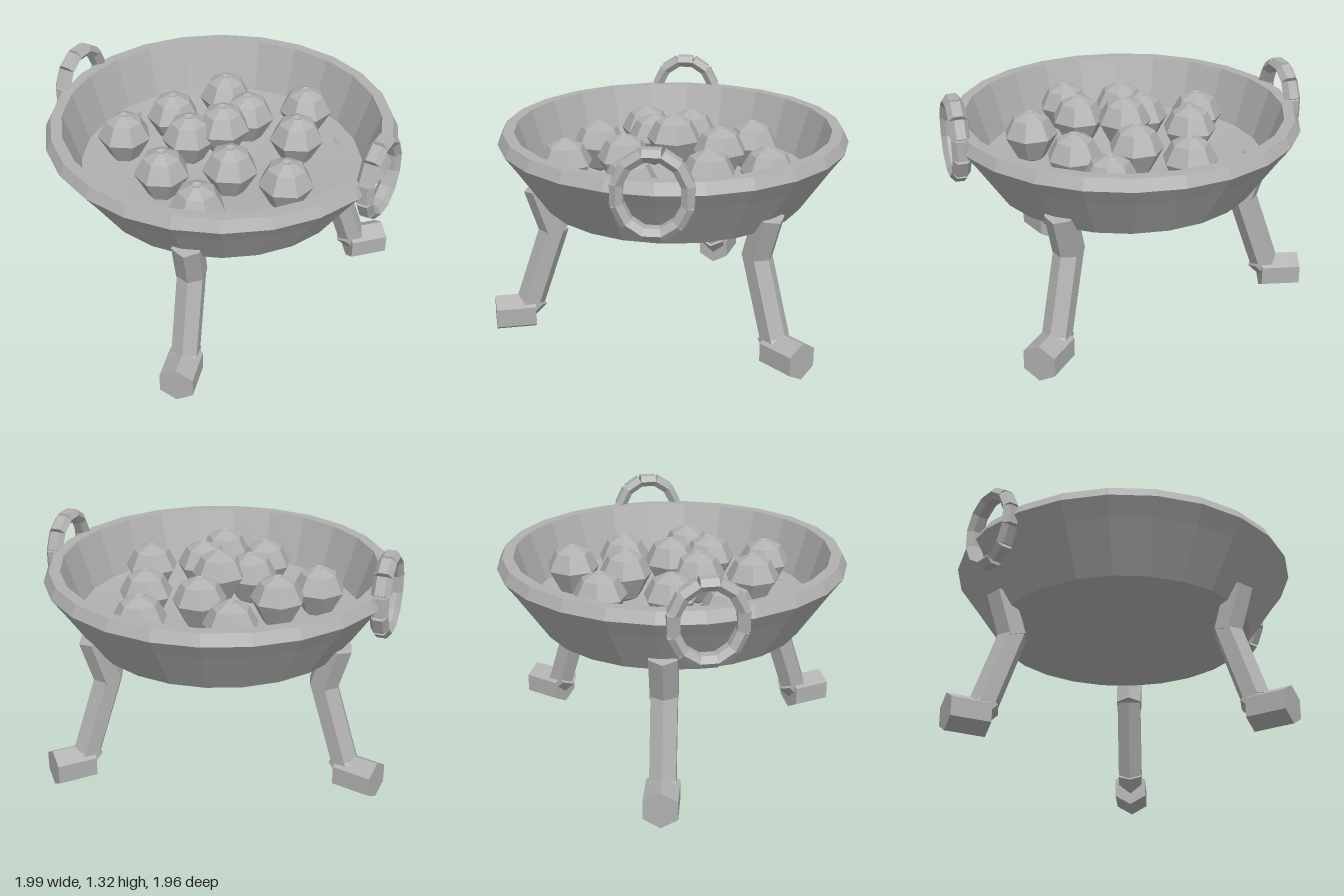
import * as THREE from 'three';

const grey = new THREE.MeshStandardMaterial({ color: 0xb0b0b0, flatShading: true });
grey.name = 'stone grey';

const v3 = (x, y, z) => new THREE.Vector3(x, y, z);

function part(name, geometry) {
  const mesh = new THREE.Mesh(geometry, grey);
  mesh.name = name;
  return mesh;
}

// Turned shape from [radius, height] pairs, listed from the underside upwards
function turned(name, profile, sides) {
  return part(name, new THREE.LatheGeometry(profile.map(([r, y]) => new THREE.Vector2(r, y)), sides));
}

// Six-sided bar between two points
function bar(name, a, b, radius) {
  const dir = b.clone().sub(a);
  const mesh = part(name, new THREE.CylinderGeometry(radius, radius, dir.length(), 6));
  mesh.position.copy(a).add(b).multiplyScalar(0.5);
  mesh.quaternion.setFromUnitVectors(v3(0, 1, 0), dir.normalize());
  return mesh;
}

// Bent leg in the local yz plane, with z pointing away from the bowl
function makeLeg() {
  const leg = new THREE.Group();
  leg.name = 'leg';
  leg.add(
    bar('upperLeg', v3(0, 0.845, 0.75), v3(0, 0.59, 0.67), 0.085),
    bar('lowerLeg', v3(0, 0.61, 0.67), v3(0, 0.17, 0.82), 0.08),
    bar('ankle', v3(0, 0.19, 0.79), v3(0, 0.1, 0.88), 0.08)
  );
  const foot = part('foot', new THREE.CylinderGeometry(0.104, 0.104, 0.22, 6).rotateX(Math.PI / 2));
  foot.position.set(0, 0.104, 0.91);
  leg.add(foot);
  return leg;
}

// Upright oval ring made of short straight links
function makeHandle() {
  const handle = new THREE.Group();
  handle.name = 'handle';
  const count = 12;
  const at = (i) => {
    const a = ((i + 0.5) / count) * Math.PI * 2;
    return v3(0, Math.cos(a) * 0.205, Math.sin(a) * 0.178);
  };
  for (let i = 0; i < count; i++) {
    const a = at(i), b = at(i + 1);
    const link = part('handleLink', new THREE.CylinderGeometry(0.05, 0.05, a.distanceTo(b), 6).rotateY(Math.PI / 2));
    link.position.copy(a).add(b).multiplyScalar(0.5);
    link.rotation.x = Math.atan2(b.z - a.z, b.y - a.y);
    link.scale.z = 0.75;
    handle.add(link);
  }
  return handle;
}

export function createModel() {
  const model = new THREE.Group();
  model.name = 'footedBowl';
  const body = new THREE.Group();
  body.name = 'bowlWithLegs';
  body.position.set(0.012, 0, -0.02);
  model.add(body);

  // Bowl: outside, rim, inner wall and shallow floor
  body.add(turned('bowl', [
    [0, 0.52], [0.11, 0.52], [0.32, 0.58], [0.725, 0.75], [0.895, 1.0],
    [0.96, 1.09], [0.93, 1.15], [0.87, 1.15], [0.78, 0.87], [0, 0.78],
  ], 24));

  // Three legs evenly spaced
  for (let i = 0; i < 3; i++) {
    const leg = makeLeg();
    leg.rotation.y = THREE.MathUtils.degToRad(16.5 + i * 120);
    body.add(leg);
  }

  // Ring handles on both sides
  for (const side of [-1, 1]) {
    const handle = makeHandle();
    handle.position.set(side * 0.932, 1.09, 0.01);
    body.add(handle);
  }

  // Heap of round fruit: x, top height, z
  const fruits = [
    [-0.21, 1.12, -0.45], [0.26, 1.12, -0.55], [0.03, 1.15, -0.28], [0.36, 1.13, -0.24],
    [-0.345, 1.14, -0.09], [0.015, 1.21, -0.025], [-0.125, 1.17, 0.1], [0.205, 1.15, 0.225],
    [0.5, 1.12, 0.155], [-0.495, 1.11, 0.185], [-0.105, 1.13, 0.41], [0.195, 1.11, 0.55],
  ];
  for (const [x, top, z] of fruits) {
    const fruit = turned('fruit', [
      [0, -0.3], [0.08, -0.26], [0.15, -0.13], [0.1, -0.035], [0.028, 0], [0, -0.012],
    ], 7);
    fruit.position.set(x, top, z);
    model.add(fruit);
  }
  return model;
}
